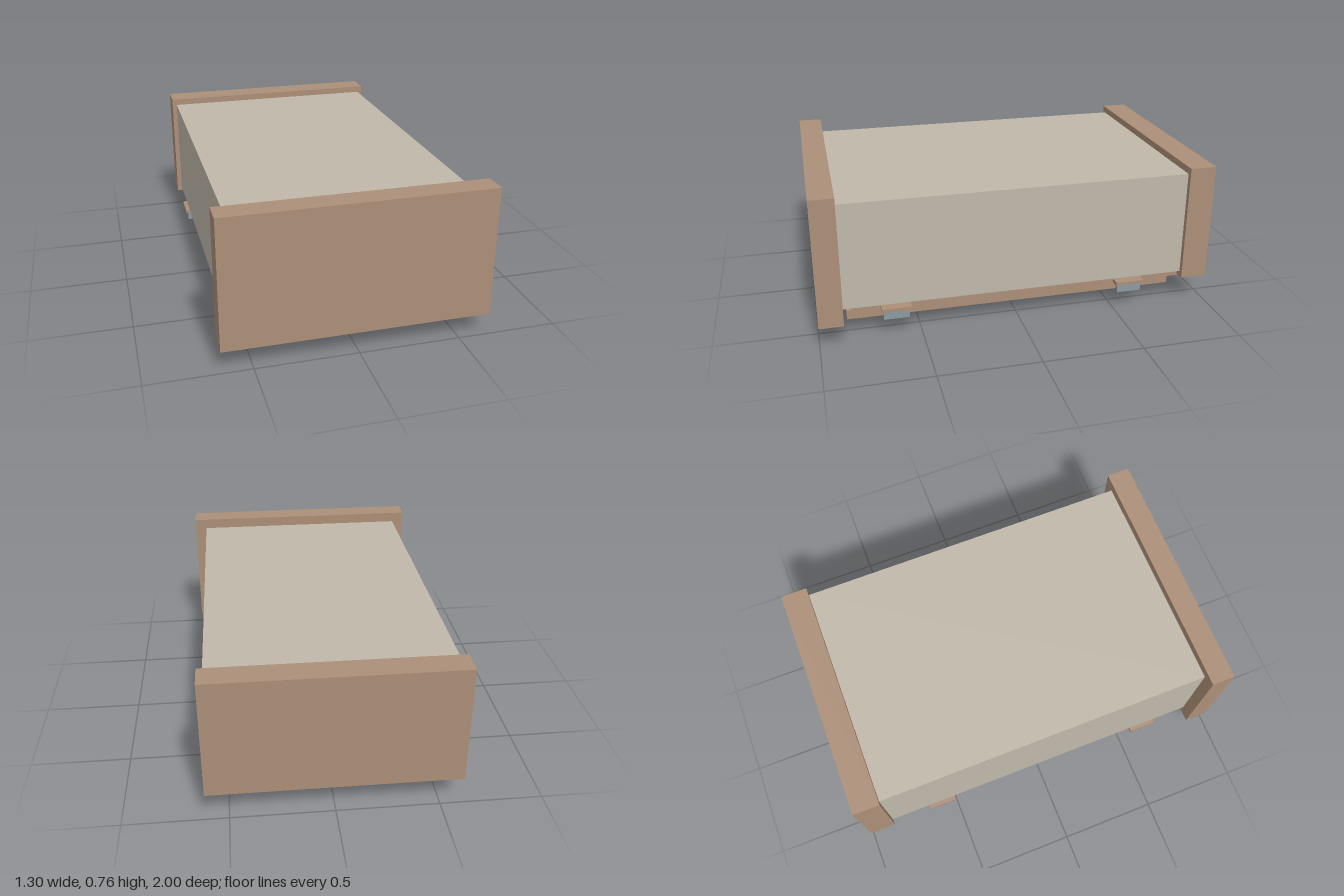
import * as THREE from 'three';

const mat = (name, color) => {
  const m = new THREE.MeshStandardMaterial({ color });
  m.name = name;
  return m;
};

export function createModel() {
  const wood = mat('brown wood', 0xac8f78);
  const shell = mat('pale beige', 0xc0b8aa);
  const metal = mat('grey metal', 0x8c9ba2);
  const root = new THREE.Group();
  root.name = 'cabinet';

  // Box given by its limits on each axis
  const box = (name, material, x0, x1, y0, y1, z0, z1, parent = root) => {
    const mesh = new THREE.Mesh(new THREE.BoxGeometry(x1 - x0, y1 - y0, z1 - z0), material);
    mesh.position.set((x0 + x1) / 2, (y0 + y1) / 2, (z0 + z1) / 2);
    mesh.name = name;
    parent.add(mesh);
    return mesh;
  };

  // Flat rectangular frame lying in the xz plane
  const frame = (name, x0, x1, y0, y1, z0, z1, w, parent) => {
    const s = new THREE.Shape();
    s.moveTo(x0, -z1).lineTo(x1, -z1).lineTo(x1, -z0).lineTo(x0, -z0).closePath();
    const h = new THREE.Path();
    h.moveTo(x0 + w, -z1 + w).lineTo(x0 + w, -z0 - w).lineTo(x1 - w, -z0 - w).lineTo(x1 - w, -z1 + w).closePath();
    s.holes.push(h);
    const g = new THREE.ExtrudeGeometry(s, { depth: y1 - y0, bevelEnabled: false });
    g.rotateX(-Math.PI / 2).translate(0, y0, 0);
    const mesh = new THREE.Mesh(g, wood);
    mesh.name = name;
    parent.add(mesh);
  };

  // Carcass and end boards
  box('body', shell, -0.585, 0.585, 0.165, 0.705, -0.865, 0.88);
  box('frontBoard', wood, -0.65, 0.65, 0.11, 0.76, 0.88, 1);
  box('backBoard', wood, -0.61, 0.61, 0.14, 0.74, -1, -0.865);
  box('faceFrame', wood, -0.55, 0.55, 0.125, 0.165, -0.87, 0.84);

  for (const side of [-1, 1]) {
    const span = (a, b) => (side > 0 ? [a, b] : [-b, -a]);
    const door = new THREE.Group();
    door.name = side > 0 ? 'leftDoor' : 'rightDoor';
    root.add(door);

    // Door slab with a raised border around recessed planks
    box('doorSlab', wood, ...span(0.015, 0.533), 0.08, 0.125, -0.82, 0.86, door);
    frame('doorBorder', ...span(0.045, 0.505), 0.063, 0.08, -0.78, 0.825, 0.04, door);
    const planks = 6, pitch = 0.38 / planks;
    for (let i = 0; i < planks; i++) {
      const a = 0.085 + i * pitch;
      box('plank', wood, ...span(a + 0.003, a + pitch - 0.003), 0.073, 0.08, -0.73, 0.775, door);
    }

    // Round knob with a small pin beside it
    const knob = new THREE.Mesh(new THREE.CylinderGeometry(0.024, 0.024, 0.078, 20), wood);
    knob.position.set(side * 0.1, 0.042, 0.022);
    knob.name = 'knob';
    door.add(knob);
    box('knobPin', wood, ...span(0.094, 0.106), 0, 0.005, -0.04, 0.022, door);

    // Hinges: a grey leaf under a brown cap
    for (const z of [0.622, -0.582]) {
      box('hingeLeaf', metal, ...span(0.567, 0.59), 0.085, 0.13, z - 0.063, z + 0.063);
      box('hingeCap', wood, ...span(0.548, 0.603), 0.13, 0.147, z - 0.073, z + 0.073);
    }
  }
  return root;
}
